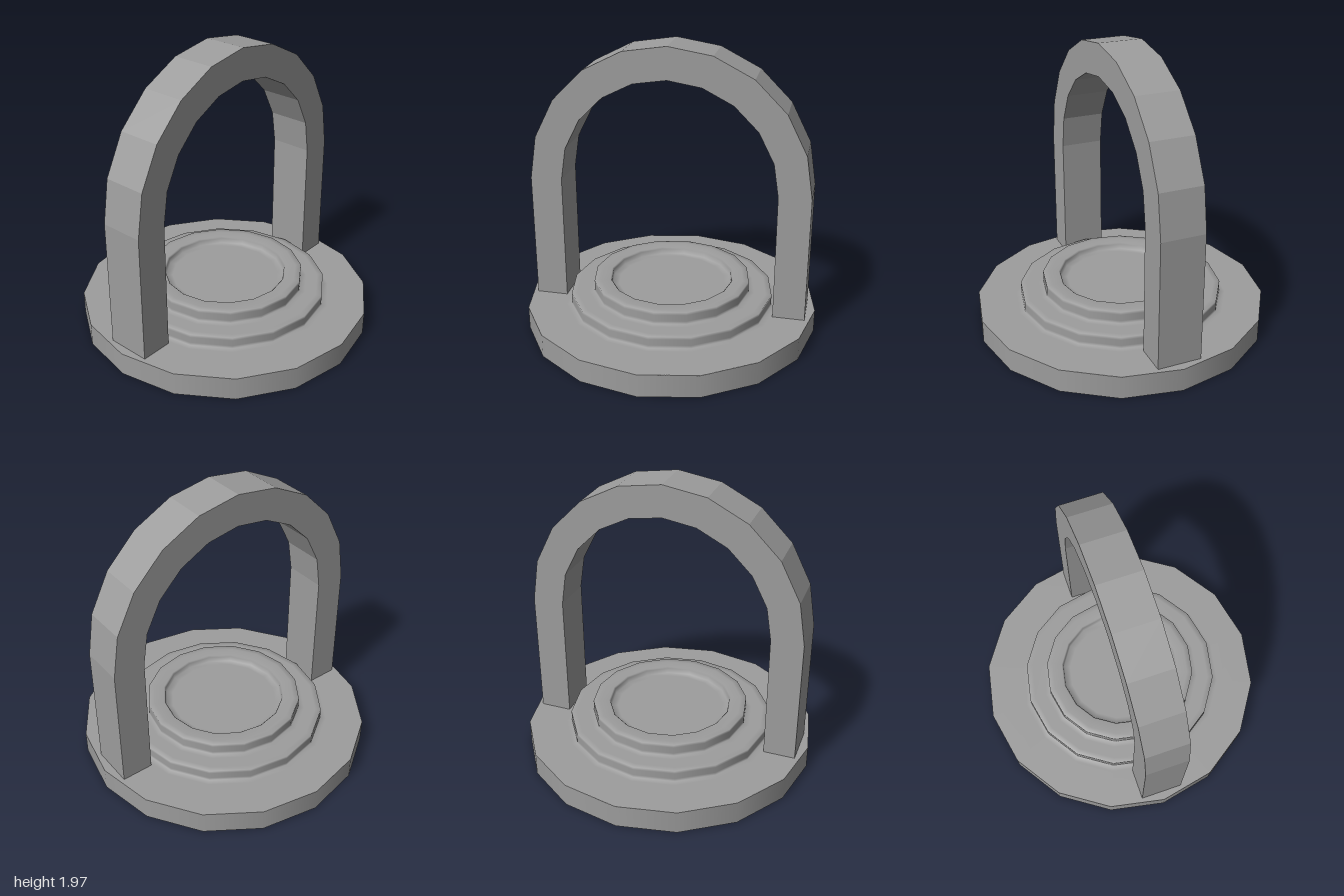
import * as THREE from 'three';

const material = new THREE.MeshStandardMaterial({ color: 0x9d9d9d, side: THREE.DoubleSide });
const flatMaterial = new THREE.MeshStandardMaterial({ color: 0x9d9d9d, side: THREE.DoubleSide, flatShading: true });

// Turned part with 16 sides, from [radius, height] points
function lathe(name, points) {
  const profile = points.map(([r, y]) => new THREE.Vector2(r, y));
  const mesh = new THREE.Mesh(new THREE.LatheGeometry(profile, 16), material);
  mesh.name = name;
  return mesh;
}

// Riser between two treads, with narrow loops that keep the soft edges tight
const riser = (r, low, high) => [
  [r + 0.04, low], [r, low], [r, low + 0.02], [r, high - 0.02], [r, high], [r - 0.04, high],
];

// Stepped round base: an open-bottomed shell with a shallow basin on top
function createBase() {
  const base = new THREE.Group();
  base.name = 'steppedBase';
  base.add(
    lathe('outerWall', [[1, 0], [1, 0.158]]),
    lathe('steps', [
      [1, 0.156], [1, 0.158],
      ...riser(0.7, 0.158, 0.24),
      ...riser(0.54, 0.24, 0.325),
      [0.43, 0.325], [0.42, 0.315], [0.415, 0.28], [0.37, 0.28], [0, 0.28],
    ]),
  );
  return base;
}

// Arch: a rectangular section swept up one leg, round a half circle and down; the feet are open
function createArch() {
  const halfWidth = 0.148, outer = 0.94, inner = 0.725, springY = 1.026, footY = 0.07, steps = 10;
  const section = (angle, y) => [[1, outer], [1, inner], [-1, inner], [-1, outer]].map(([side, r]) =>
    [side * halfWidth, y ?? springY + r * Math.sin(angle), r * Math.cos(angle)]);

  const sections = [section(0, footY)];
  for (let i = 0; i <= steps; i++) sections.push(section((i / steps) * Math.PI));
  sections.push(section(Math.PI, footY));

  const positions = [];
  for (let i = 0; i < sections.length - 1; i++) {
    for (let j = 0; j < 4; j++) {
      const k = (j + 1) % 4;
      const a = sections[i][j], b = sections[i][k];
      const c = sections[i + 1][k], d = sections[i + 1][j];
      positions.push(...a, ...b, ...c, ...a, ...c, ...d);
    }
  }
  const geometry = new THREE.BufferGeometry();
  geometry.setAttribute('position', new THREE.Float32BufferAttribute(positions, 3));
  geometry.computeVertexNormals();
  const arch = new THREE.Mesh(geometry, flatMaterial);
  arch.name = 'arch';
  return arch;
}

export function createModel() {
  const model = new THREE.Group();
  model.name = 'archOnSteppedBase';
  model.add(createBase(), createArch());
  return model;
}
